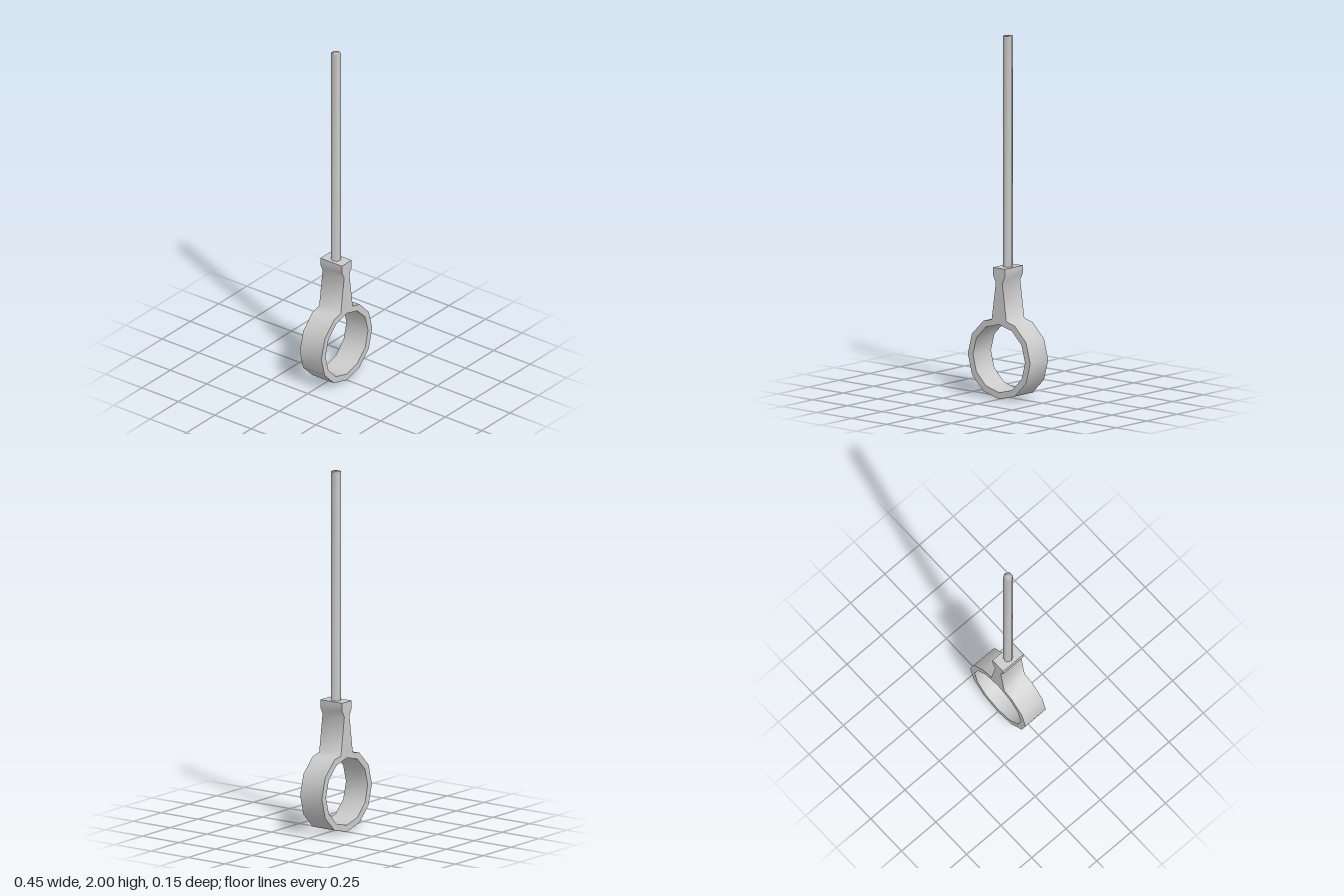
import * as THREE from 'three';
import { mergeVertices, toCreasedNormals } from 'three/addons/utils/BufferGeometryUtils.js';

const RING_Y = 0.226, OUTER = 0.225, INNER = 0.188, DEPTH = 0.148;

// Corner i of a 12-sided ring, counted anticlockwise from the bottom
function ringPoint(radius, i) {
  const a = -Math.PI / 2 + (i * Math.PI) / 6;
  return new THREE.Vector2(Math.cos(a) * radius, RING_Y + Math.sin(a) * radius);
}

export function createModel() {
  const model = new THREE.Group();
  const material = new THREE.MeshStandardMaterial({ color: 0xcccccc });

  // Ring with tapered neck and collar, cut from one profile
  const neck = [[0.053, 0.435], [0.023, 0.643], [0.043, 0.683], [0.043, 0.725]];
  const right = [];
  for (let i = 1; i <= 5; i++) right.push(ringPoint(OUTER, i));
  neck.forEach(([x, y]) => right.push(new THREE.Vector2(x, y)));
  const left = right.map((p) => new THREE.Vector2(-p.x, p.y)).reverse();
  const profile = new THREE.Shape([ringPoint(OUTER, 0), ...right, ...left]);
  const hole = [];
  for (let i = 0; i < 12; i++) hole.push(ringPoint(INNER, i));
  profile.holes.push(new THREE.Path(hole));

  const holderGeometry = new THREE.ExtrudeGeometry(profile, { depth: DEPTH, bevelEnabled: false });
  holderGeometry.translate(0, 0, -DEPTH / 2);
  const holder = new THREE.Mesh(toCreasedNormals(holderGeometry, 1.3), material);
  holder.name = 'ringHolder';
  model.add(holder);

  // Hexagonal rod, softly shaded, with corners to the left and right
  const bottom = 0.722, top = 2;
  let rodGeometry = new THREE.CylinderGeometry(0.028, 0.028, top - bottom, 6, 1, false, Math.PI / 2);
  rodGeometry.deleteAttribute('normal');
  rodGeometry.deleteAttribute('uv');
  rodGeometry = mergeVertices(rodGeometry);
  rodGeometry.computeVertexNormals();
  const rod = new THREE.Mesh(rodGeometry, material);
  rod.name = 'rod';
  rod.position.y = (top + bottom) / 2;
  model.add(rod);

  return model;
}
